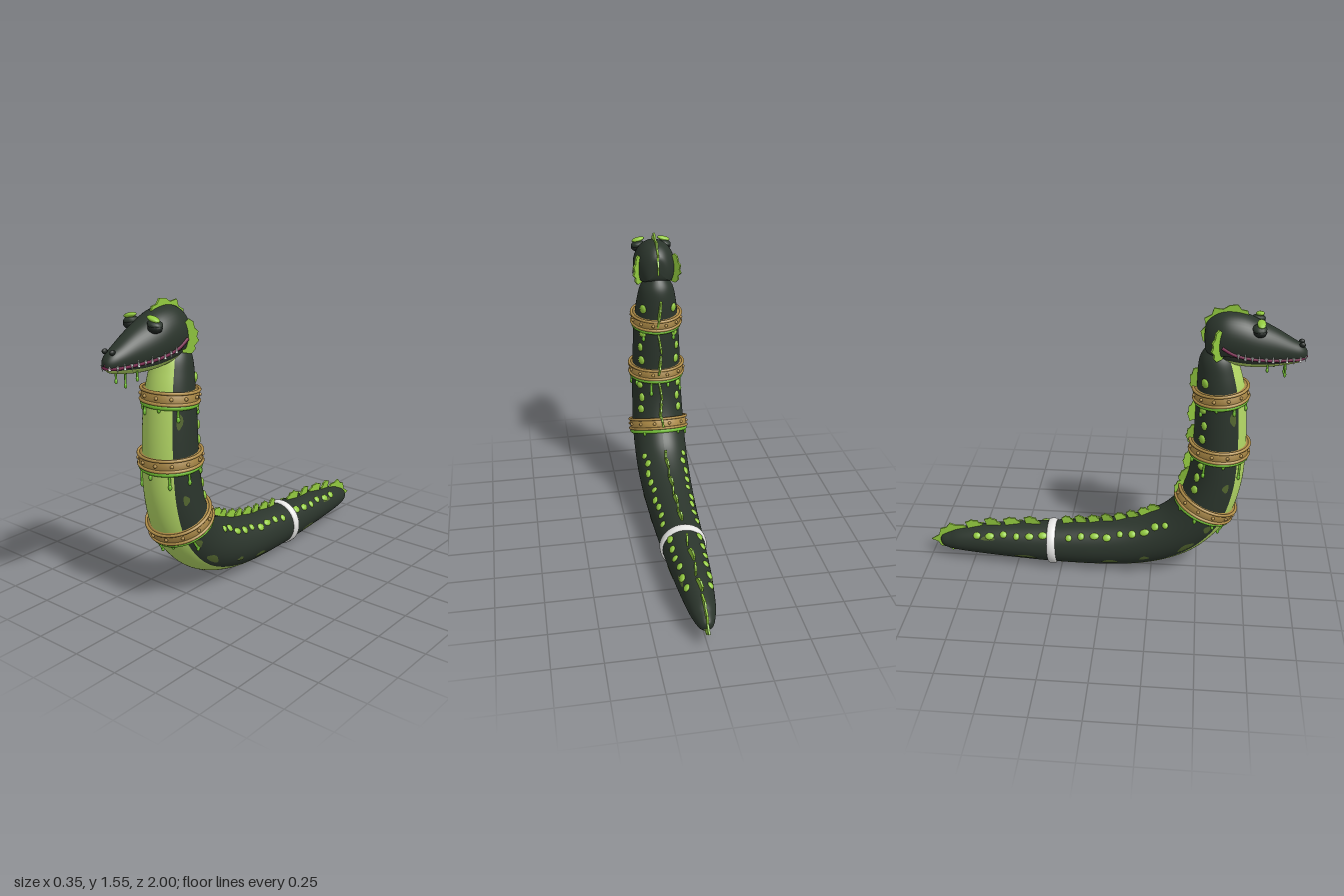
import * as THREE from 'three';

const V = (x, y, z) => new THREE.Vector3(x, y, z);
const mat = (name, color, side = THREE.FrontSide) => {
  const m = new THREE.MeshStandardMaterial({ color, side });
  m.name = name;
  return m;
};

export function createModel() {
  const model = new THREE.Group();
  model.name = 'swampSerpent';
  const dark = mat('darkScale', 0x2b352c, THREE.DoubleSide);
  const belly = mat('bellyGreen', 0xb3d765, THREE.DoubleSide);
  const olive = mat('oliveBlotch', 0x53662f, THREE.DoubleSide);
  const finMat = mat('finGreen', 0x93cb3f, THREE.DoubleSide);
  const slime = mat('slimeGreen', 0x76c634);
  const bronze = mat('bronze', 0xb08d48);
  const white = mat('white', 0xe8e8e6);
  const mouthMat = mat('mouthPurple', 0x7a2a50);
  const eyeMat = mat('eyeBlack', 0x1d231f);

  const add = (name, geo, material, parent = model) => {
    const m = new THREE.Mesh(geo, material);
    m.name = name;
    parent.add(m);
    return m;
  };
  const group = (name) => {
    const g = new THREE.Group();
    g.name = name;
    model.add(g);
    return g;
  };

  // Smooth surface from f(u, v); pick(j) chooses the material index of each lengthwise strip
  function surface(nu, nv, f, pick = () => 0) {
    const pos = [], index = [], g = new THREE.BufferGeometry();
    for (let i = 0; i <= nu; i++)
      for (let j = 0; j <= nv; j++) pos.push(...f(i / nu, j / nv).toArray());
    for (let j = 0; j < nv; j++) {
      g.addGroup(index.length, nu * 6, pick(j));
      for (let i = 0; i < nu; i++) {
        const a = i * (nv + 1) + j, b = a + nv + 1;
        index.push(a, b, b + 1, a, b + 1, a + 1);
      }
    }
    g.setAttribute('position', new THREE.Float32BufferAttribute(pos, 3));
    g.setIndex(index);
    g.computeVertexNormals();
    return g;
  }

  // Spine: x holds the body radius, y and z the centre line from tail to head
  const spine = new THREE.CatmullRomCurve3([
    [0.004, 0.092, -0.947], [0.033, 0.095, -0.93], [0.053, 0.1, -0.88], [0.071, 0.11, -0.8],
    [0.094, 0.12, -0.6], [0.115, 0.126, -0.3], [0.13, 0.143, 0], [0.14, 0.178, 0.2],
    [0.147, 0.243, 0.36], [0.149, 0.33, 0.465], [0.149, 0.44, 0.535], [0.144, 0.6, 0.578],
    [0.138, 0.78, 0.59], [0.132, 0.95, 0.588], [0.123, 1.09, 0.582], [0.109, 1.2, 0.567],
    [0.09, 1.28, 0.555], [0.05, 1.34, 0.55]].map((p) => V(...p)), false, 'catmullrom', 0.5);
  const X = V(1, 0, 0);
  function frame(t) {
    const p = spine.getPoint(t), T = spine.getTangent(t).setX(0).normalize();
    return { r: p.x, C: V(0, p.y, p.z), T, N: V(0, T.z, -T.y) };
  }
  // Point on the skin; angle 0 is the back and PI the belly
  function skin(t, a, lift = 0) {
    const { r, C, N } = frame(t);
    return C.addScaledVector(X, (r + lift) * Math.sin(a)).addScaledVector(N, (r + lift) * Math.cos(a));
  }
  const samples = spine.getPoints(1000);
  function nearest(z, y) {
    let best = 0, bd = 9;
    samples.forEach((p, i) => {
      const d = Math.hypot(p.z - z, p.y - y);
      if (d < bd) { bd = d; best = i; }
    });
    return best / 1000;
  }
  const place = (o, p, x, y, z) => {
    o.quaternion.setFromRotationMatrix(new THREE.Matrix4().makeBasis(x, y, z));
    o.position.copy(p);
    return o;
  };

  // Body with a belly strip that narrows under the tail
  add('body', surface(120, 60, (u, v) => {
    const narrow = 1 - THREE.MathUtils.smoothstep(u, 0.35, 0.55);
    const a = v * Math.PI * 2;
    return skin(u, a + narrow * 0.13 * Math.sin(a));
  }, (j) => (j >= 22 && j < 38 ? 1 : 0)), [dark, belly]);

  // Olive blotches hugging the flanks: z, y, angle, half length, half angle
  const blotches = group('blotches');
  [[0.5, 0.37, 2.0, 0.011, 0.13], [0.4, 0.265, 2.05, 0.018, 0.13], [0.02, 0.14, 2.05, 0.011, 0.11],
    [-0.45, 0.13, 2.05, 0.012, 0.11], [-0.66, 0.12, 1.0, 0.01, 0.15], [0.58, 0.6, 1.95, 0.008, 0.12],
    [0.58, 0.99, 2.05, 0.016, 0.13], [0.2, 0.18, 1.95, 0.008, 0.09]].forEach(([z, y, a, dt, da]) => {
    const t = nearest(z, y);
    for (const s of [1, -1])
      add('blotch', surface(4, 16, (u, v) => {
        const w = v * Math.PI * 2, k = u * (1 + 0.15 * Math.sin(3 * w));
        return skin(t + k * dt * Math.cos(w), s * (a + k * da * Math.sin(w)), 0.003);
      }), olive, blotches);
  });

  // Raised spots in a row along each side of the back
  const spots = group('spots');
  const stations = [];
  for (let z = -0.72; z < 0.4; z += 0.074) if (Math.abs(z + 0.3) > 0.04) stations.push(nearest(z, 0.13 + Math.max(0, z) * 0.25));
  for (let y = 0.54; y < 1.25; y += 0.08) stations.push(nearest(0.58, y));
  const ball = new THREE.SphereGeometry(1, 12, 8);
  stations.forEach((t, i) => {
    for (const s of [1, -1]) {
      const a = s * (0.83 + 0.06 * Math.sin(i * 2.3)), { T, N } = frame(t);
      const out = N.clone().multiplyScalar(Math.cos(a)).addScaledVector(X, Math.sin(a));
      const m = place(add('spot', ball, finMat, spots), skin(t, a), out.clone().cross(T), out, T);
      m.scale.set(0.02 + 0.003 * Math.sin(i * 3.1), 0.011, 0.022 + 0.005 * Math.sin(i * 1.7));
    }
  });

  // Flat fin plates, each turned a little off the centre plane
  const plate = (pts) => new THREE.ExtrudeGeometry(new THREE.Shape(pts.map((p) => new THREE.Vector2(...p))),
    { depth: 0.01, bevelEnabled: false }).translate(0, 0, -0.005);
  const fins = group('backFins');
  const finOutline = [[-0.5, -0.3], [-0.48, 0.3], [-0.25, 0.55], [-0.2, 0.8], [0.1, 0.85], [0.2, 1],
    [0.4, 0.8], [0.62, 0.7], [0.55, 0.35], [0.45, -0.3]];
  function fin(t, len, h, i) {
    const { r, C, T, N } = frame(t);
    place(add('backFin', plate(finOutline.map(([x, y]) => [x * len, y * h])), finMat, fins),
      C.addScaledVector(N, r), T.clone().negate(), N, X).rotateY(i % 2 ? 0.14 : -0.14);
  }
  [0.33, 0.26, 0.18, 0.1, 0.02, -0.06, -0.135, -0.21].forEach((z, i) => fin(nearest(z, 0.13 + Math.max(0, z) * 0.3), 0.058, 0.045, i));
  [-0.41, -0.525, -0.635, -0.74].forEach((z, i) => fin(nearest(z, 0.125), 0.085, 0.045, i));
  [[1.17, 0.13], [0.98, 0.1], [0.85, 0.1], [0.69, 0.1], [0.56, 0.1], [0.47, 0.08]].forEach(([y, l], i) => fin(nearest(0.57, y), l, 0.042, i));

  // Plates drawn directly as z, y outlines on the centre plane
  const midPlate = (name, pts) => place(add(name, plate(pts), finMat), V(0, 0, 0), V(0, 0, 1), V(0, 1, 0), V(-1, 0, 0));
  midPlate('tailFin', [[-0.78, 0.16], [-0.81, 0.195], [-0.86, 0.195], [-0.89, 0.205], [-0.91, 0.178], [-0.945, 0.165],
    [-0.955, 0.125], [-1, 0.095], [-0.96, 0.08], [-0.95, 0.055], [-0.91, 0.048], [-0.88, 0.03], [-0.84, 0.042], [-0.82, 0.1]]);
  midPlate('headCrest', [[0.7, 1.49], [0.69, 1.525], [0.66, 1.53], [0.64, 1.555], [0.6, 1.55], [0.57, 1.53], [0.525, 1.535],
    [0.515, 1.5], [0.48, 1.48], [0.488, 1.44], [0.465, 1.41], [0.478, 1.36], [0.52, 1.36], [0.56, 1.47]]);

  // Slime drips running down the skin
  function drip(pts, r, parent) {
    const c = new THREE.CatmullRomCurve3(pts);
    add('drip', new THREE.TubeGeometry(c, 8, r, 8), slime, parent);
    const end = add('dripEnd', ball, slime, parent);
    end.position.copy(pts[pts.length - 1]);
    end.scale.set(r * 1.5, r * 2.6, r * 1.5);
  }

  // Bronze collars with rims, rivets and slime beneath
  const lathe = (pts) => new THREE.LatheGeometry(pts.map((p) => new THREE.Vector2(...p)), 48);
  [[0.535, 0.44], [0.59, 0.78], [0.582, 1.09]].forEach(([z, y], k) => {
    const t = nearest(z, y), { r, C, T, N } = frame(t), g = group('collar');
    place(g, C, X, T, N.clone().negate());
    add('collarBand', lathe([[r - 0.005, -0.03], [r + 0.016, -0.03], [r + 0.016, 0.03], [r - 0.01, 0.03]]), bronze, g);
    for (const h of [-0.027, 0.027])
      add('collarRim', new THREE.TorusGeometry(r + 0.017, 0.008, 8, 48).rotateX(Math.PI / 2).translate(0, h, 0), bronze, g);
    for (let i = 0; i < 12; i++) {
      const a = ((i + 0.5) / 12) * Math.PI * 2, m = add('rivet', ball, bronze, g);
      m.position.set((r + 0.018) * Math.sin(a), 0, (r + 0.018) * Math.cos(a));
      m.scale.setScalar(0.009);
    }
    add('slimeRing', new THREE.TorusGeometry(r + 0.006, 0.013, 10, 48).rotateX(Math.PI / 2).translate(0, -0.042, 0), slime, g);
    const drips = group('collarDrips');
    for (let i = 0; i < 9; i++) {
      const a = i * 0.7 + k * 0.35, len = 0.018 + 0.012 * Math.sin(i * 2.7 + k);
      drip([0, 0.5, 1].map((f) => skin(t - 0.012 - f * len, a, 0.004)), 0.006, drips);
    }
  });

  // White band around the tail
  const tb = frame(nearest(-0.3, 0.126));
  const ring = add('tailBand', lathe([[0.11, -0.023], [0.12, -0.023], [0.125, -0.015], [0.126, 0],
    [0.125, 0.015], [0.12, 0.023], [0.11, 0.023]]), white);
  place(ring, tb.C, X, tb.T, tb.N.clone().negate());

  // Head and jaw: rows of z, top, bottom and half width
  const head = group('head');
  function rows(list) {
    const c = new THREE.CatmullRomCurve3(list.map(([z, top, , w]) => V(w, top, z)), false, 'catmullrom', 0.5);
    const b = new THREE.CatmullRomCurve3(list.map(([z, , bot]) => V(0, bot, z)), false, 'catmullrom', 0.5);
    return (u) => { const p = c.getPoint(u); return { z: p.z, top: p.y, w: p.x, bot: b.getPoint(u).y }; };
  }
  const skull = rows([[0.485, 1.42, 1.38, 0.004], [0.495, 1.465, 1.33, 0.06], [0.54, 1.505, 1.315, 0.095], [0.6, 1.52, 1.32, 0.11],
    [0.68, 1.51, 1.31, 0.112], [0.76, 1.475, 1.3, 0.1], [0.84, 1.435, 1.295, 0.08], [0.92, 1.388, 1.295, 0.058],
    [0.965, 1.362, 1.295, 0.042], [0.99, 1.335, 1.3, 0.022], [0.995, 1.315, 1.305, 0.002]]);
  add('skull', surface(48, 32, (u, v) => {
    const { z, top, bot, w } = skull(u), a = Math.PI + 0.5 - v * (Math.PI + 1), s = Math.sin(0.5);
    return V(w * Math.cos(a), bot + ((top - bot) * (Math.sin(a) + s)) / (1 + s), z);
  }), dark, head);
  add('palate', surface(48, 2, (u, v) => {
    const { z, bot, w } = skull(u);
    return V(w * 0.88 * (1 - 2 * v), bot, z);
  }), dark, head);
  const jaw = rows([[0.5, 1.33, 1.31, 0.01], [0.53, 1.33, 1.28, 0.06], [0.6, 1.33, 1.255, 0.09], [0.7, 1.318, 1.24, 0.092],
    [0.8, 1.305, 1.24, 0.075], [0.9, 1.302, 1.254, 0.053], [0.96, 1.302, 1.268, 0.036], [0.982, 1.3, 1.282, 0.006]]);
  add('lowerJaw', surface(32, 24, (u, v) => {
    const { z, top, bot, w } = jaw(u), a = v * Math.PI;
    return V(w * Math.cos(a), top - (top - bot) * Math.sin(a), z);
  }, (j) => (j < 4 || j > 19 ? 0 : 1)), [dark, belly], head);

  // Gum line with spaced teeth along both sides
  const side = [[0.11, 1.37, 0.57], [0.108, 1.335, 0.63], [0.1, 1.312, 0.72], [0.083, 1.302, 0.8],
    [0.058, 1.296, 0.9], [0.039, 1.295, 0.96]];
  const gum = new THREE.CatmullRomCurve3([...side.map((p) => V(...p)), V(0, 1.297, 0.992),
    ...side.map(([x, y, z]) => V(-x, y, z)).reverse()]);
  add('gums', new THREE.TubeGeometry(gum, 60, 0.008, 6), mouthMat, head);
  for (let i = 0; i < 22; i++) {
    const m = add('tooth', new THREE.ConeGeometry(0.007, 0.034, 6), white, head);
    m.position.copy(gum.getPointAt(0.1 + (0.8 * i) / 21));
    m.position.x += Math.sign(m.position.x) * 0.007;
    m.position.y += i % 2 ? -0.006 : 0.008;
    if (i % 2) m.rotation.x = Math.PI;
  }

  // Eyes, brows, nostrils and cheek frills, mirrored
  for (const s of [1, -1]) {
    const blob = (name, m, p, sc, rz = 0) => {
      const b = add(name, ball, m, head);
      b.position.set(s * p[0], p[1], p[2]);
      b.scale.set(...sc);
      b.rotation.z = s * rz;
    };
    blob('eye', eyeMat, [0.077, 1.446, 0.75], [0.037, 0.026, 0.034]);
    blob('eyelid', dark, [0.076, 1.462, 0.748], [0.038, 0.02, 0.036], -0.2);
    blob('brow', finMat, [0.073, 1.487, 0.755], [0.037, 0.012, 0.022], -0.25);
    blob('nostril', eyeMat, [0.024, 1.366, 0.965], [0.01, 0.013, 0.016]);
    const frill = add('cheekFrill', plate([[-0.02, 1.3], [0.02, 1.295], [0.04, 1.315], [0.037, 1.335], [0.057, 1.355], [0.047, 1.375],
      [0.054, 1.4], [0.038, 1.415], [0.032, 1.445], [0.01, 1.46], [-0.02, 1.43]].map(([x, y]) => [s * x, y])), finMat, head);
    frill.position.set(s * 0.093, 0, 0.56);
    frill.rotation.y = s * 0.8;
  }

  // Drool hanging from the jaw
  [[-0.04, 1.27, 0.89, 0.06], [0.02, 1.255, 0.89, 0.055], [0.045, 1.27, 0.84, 0.045], [-0.06, 1.27, 0.8, 0.03]].forEach(([x, y, z, l]) =>
    drip([V(x, y, z), V(x, y - l / 2, z), V(x, y - l, z)], 0.005, head));

  return model;
}
